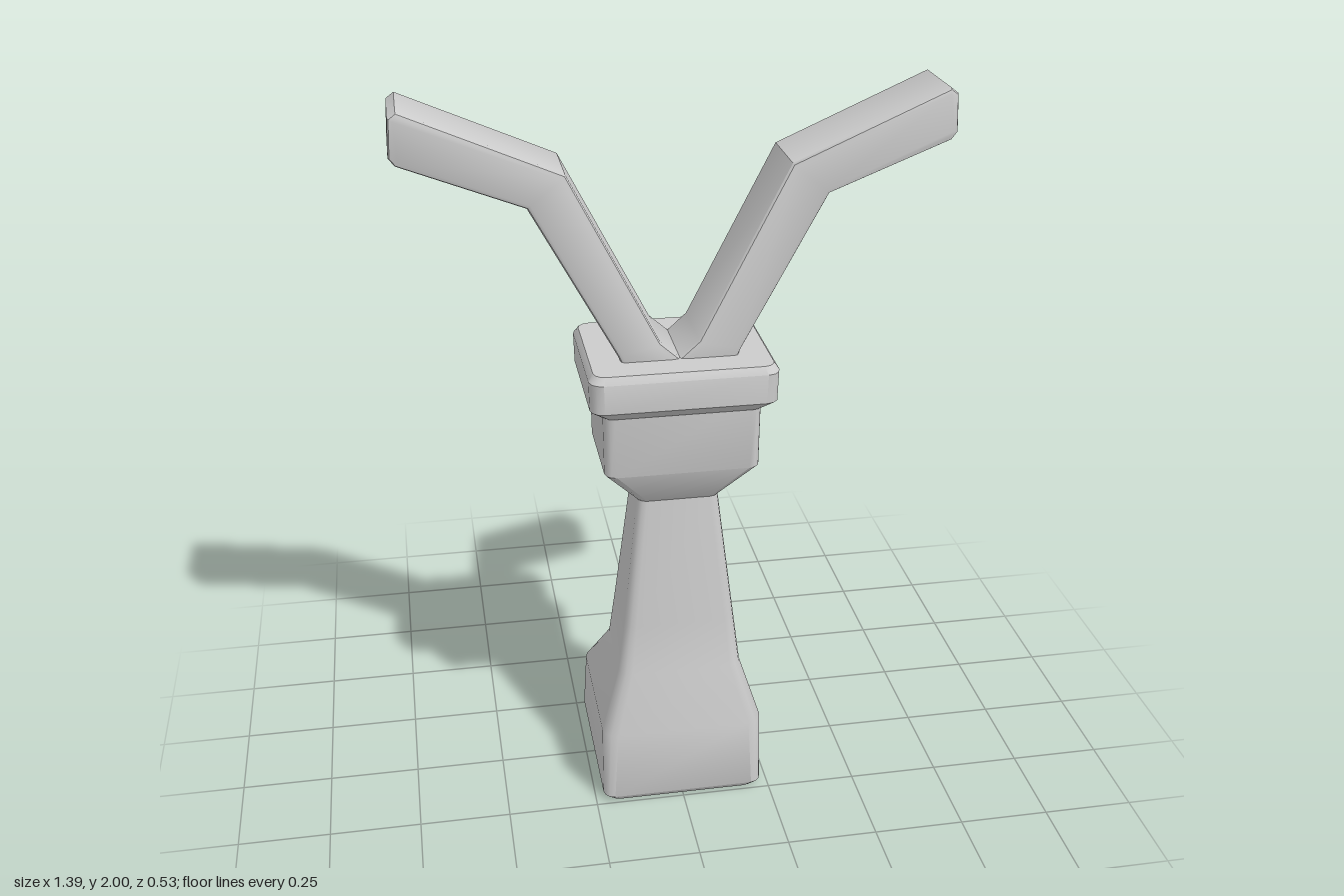
import * as THREE from 'three';
import { toCreasedNormals } from 'three/addons/utils/BufferGeometryUtils.js';

const material = new THREE.MeshStandardMaterial({ color: 0xcccccc });

function addMesh(group, name, geometry) {
  const mesh = new THREE.Mesh(toCreasedNormals(geometry, 0.65), material);
  mesh.name = name;
  group.add(mesh);
}

// Rounded rectangle at height y: half width w, front and back z, corner radius r
function ring([y, w, front, back, r]) {
  const points = [];
  const mid = (front + back) / 2, depth = (front - back) / 2;
  const corners = [[1, 1], [-1, 1], [-1, -1], [1, -1]];
  corners.forEach(([sx, sz], c) => {
    for (let k = 0; k <= 3; k++) {
      const a = (c + k / 3) * Math.PI / 2;
      points.push([sx * (w - r) + r * Math.cos(a), y, mid - sz * (depth - r) - r * Math.sin(a)]);
    }
  });
  return points;
}

// Closed solid through a stack of sections, listed from bottom to top
function loft(sections) {
  const rings = sections.map(ring);
  const n = rings[0].length;
  const positions = rings.flat(2);
  const index = [];
  for (let i = 0; i < rings.length - 1; i++) {
    for (let j = 0; j < n; j++) {
      const k = (j + 1) % n;
      const a = i * n + j, b = i * n + k;
      index.push(a, b, b + n, a, b + n, a + n);
    }
  }
  const top = (rings.length - 1) * n;
  for (let j = 1; j < n - 1; j++) {
    index.push(0, j + 1, j, top, top + j, top + j + 1);
  }
  const geometry = new THREE.BufferGeometry();
  geometry.setAttribute('position', new THREE.Float32BufferAttribute(positions, 3));
  geometry.setIndex(index);
  return geometry;
}

// Bent bar, extruded from its side outline; side is +1 or -1
function armGeometry(side) {
  const outline = [
    [0, 1.28], [0.13, 1.28], [0.16, 1.35], [0.375, 1.75], [0.68, 1.87],
    [0.695, 1.89], [0.69, 1.985], [0.67, 2.0], [0.28, 1.83], [0.05, 1.38], [0, 1.335],
  ];
  const shape = new THREE.Shape(outline.map(([x, y]) => new THREE.Vector2(side * x, y)));
  const bevel = 0.012;
  const geometry = new THREE.ExtrudeGeometry(shape, {
    depth: 0.21 - 2 * bevel, bevelEnabled: true, bevelThickness: bevel,
    bevelSize: bevel, bevelOffset: -bevel, bevelSegments: 2,
  });
  geometry.translate(0, 0, -0.035 + bevel);
  return geometry;
}

export function createModel() {
  const group = new THREE.Group();

  // Foot, tapering stem and flared head in one piece
  addMesh(group, 'column', loft([
    [0, 0.21, 0.235, -0.245, 0.03],
    [0.02, 0.228, 0.25, -0.26, 0.03],
    [0.23, 0.226, 0.25, -0.2, 0.04],
    [0.4, 0.172, 0.203, -0.062, 0.035],
    [0.55, 0.153, 0.194, -0.045, 0.03],
    [0.92, 0.11, 0.157, -0.008, 0.025],
    [1.035, 0.205, 0.23, -0.08, 0.03],
    [1.24, 0.207, 0.232, -0.088, 0.03],
  ]));

  // Square rim around the head
  addMesh(group, 'collar', loft([
    [1.205, 0.21, 0.235, -0.09, 0.03],
    [1.235, 0.243, 0.268, -0.121, 0.035],
    [1.315, 0.245, 0.27, -0.123, 0.035],
    [1.334, 0.232, 0.257, -0.11, 0.03],
  ]));

  // Mirrored pair of bent arms
  addMesh(group, 'leftArm', armGeometry(1));
  addMesh(group, 'rightArm', armGeometry(-1));

  return group;
}
